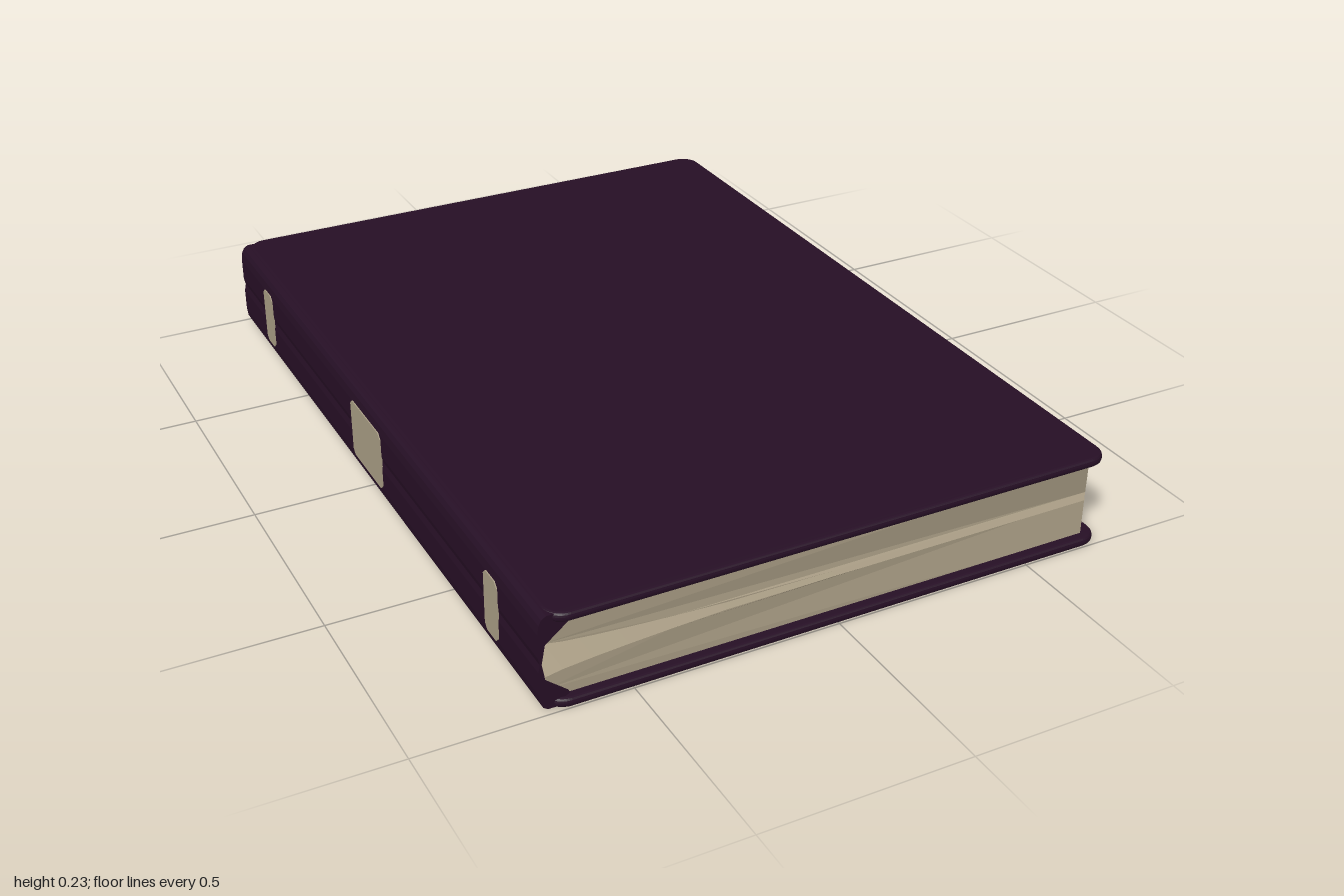
import * as THREE from 'three';

const MID = 0.1175; // height of the mirror plane between the two halves

const cloth = new THREE.MeshStandardMaterial({ color: 0x260f25 });
cloth.name = 'dark plum cover';
const paper = new THREE.MeshStandardMaterial({ color: 0xa89c84 });
paper.name = 'aged paper';

// Closed outline from [x, y] points
function outline(points) {
  return new THREE.Shape(points.map(([x, y]) => new THREE.Vector2(x, y)));
}

// Outline in x and y extruded along z, centred on z = 0
function prism(points, length) {
  const geometry = new THREE.ExtrudeGeometry(outline(points), { depth: length, bevelEnabled: false });
  return geometry.translate(0, 0, -length / 2);
}

// Mirror a list of points from the upper half to the lower half
const below = (points) => points.map(([x, y]) => [x, 2 * MID - y]).reverse();

function part(group, name, geometry, material) {
  const mesh = new THREE.Mesh(geometry, material);
  mesh.name = name;
  group.add(mesh);
  return mesh;
}

// Board with rounded corners and softened edges, lying flat
function coverGeometry() {
  const bevel = 0.009;
  const x0 = -0.69 + bevel, x1 = 0.71 - bevel, z = 1 - bevel, r = 0.04;
  const s = new THREE.Shape();
  s.moveTo(x0 + r, -z);
  s.lineTo(x1 - r, -z);
  s.absarc(x1 - r, -z + r, r, -Math.PI / 2, 0);
  s.absarc(x1 - r, z - r, r, 0, Math.PI / 2);
  s.absarc(x0 + r, z - r, r, Math.PI / 2, Math.PI);
  s.absarc(x0 + r, -z + r, r, Math.PI, Math.PI * 1.5);
  const g = new THREE.ExtrudeGeometry(s, {
    depth: 0.004, bevelThickness: bevel, bevelSize: bevel, bevelSegments: 3, curveSegments: 6,
  });
  return g.rotateX(-Math.PI / 2).translate(0, bevel, 0);
}

// Half of the pages: the inner face curves away towards the spine
const pageProfile = [
  [-0.695, 0.160], [-0.65, 0.152], [-0.58, 0.145], [-0.50, 0.139], [-0.40, 0.133],
  [-0.27, 0.127], [0, 0.125], [0.67, 0.124], [0.68, 0.124],
  [0.68, 0.217], [0.67, 0.217], [-0.67, 0.217], [-0.695, 0.190],
];

function pagesGeometry(points) {
  const g = prism(points, 1.95);
  const p = g.attributes.position;
  // Chamfer the upright corners at the fore edge
  for (let i = 0; i < p.count; i++) {
    if (p.getX(i) > 0.675) p.setZ(i, p.getZ(i) * 0.988);
  }
  g.computeVertexNormals();
  return g;
}

// Half of the spine: thin at the fold, with a wedge gripping the pages
const spineProfile = [
  [-0.706, MID], [-0.702, MID], [-0.694, 0.163], [-0.64, 0.207], [-0.66, 0.220],
  [-0.66, 0.233], [-0.69, 0.233], [-0.701, 0.226], [-0.707, 0.214], [-0.710, 0.192], [-0.710, 0.135],
];

// Pale label with clipped corners, set on the outside of the spine
function labelGeometry(width) {
  const w = width / 2, h = 0.076, c = 0.012;
  const g = new THREE.ExtrudeGeometry(outline([
    [-w + c, -h], [w - c, -h], [w, -h + c], [w, h - c],
    [w - c, h], [-w + c, h], [-w, h - c], [-w, -h + c],
  ]), { depth: 0.004, bevelEnabled: false });
  return g.rotateY(-Math.PI / 2).translate(-0.7085, MID, 0);
}

export function createModel() {
  const book = new THREE.Group();
  book.name = 'book';

  // Covers
  part(book, 'bottomCover', coverGeometry(), cloth);
  part(book, 'topCover', coverGeometry(), cloth).position.y = 2 * MID - 0.022;

  // Pages and spine, upper half and its mirror
  part(book, 'upperPages', pagesGeometry(pageProfile), paper);
  part(book, 'lowerPages', pagesGeometry(below(pageProfile)), paper);
  part(book, 'upperSpine', prism(spineProfile, 1.97), cloth);
  part(book, 'lowerSpine', prism(below(spineProfile), 1.97), cloth);

  // Spine labels
  for (const [name, z, width] of [['backLabel', -0.75, 0.07], ['middleLabel', 0, 0.2], ['frontLabel', 0.75, 0.07]]) {
    part(book, name, labelGeometry(width), paper).position.z = z;
  }

  return book;
}
